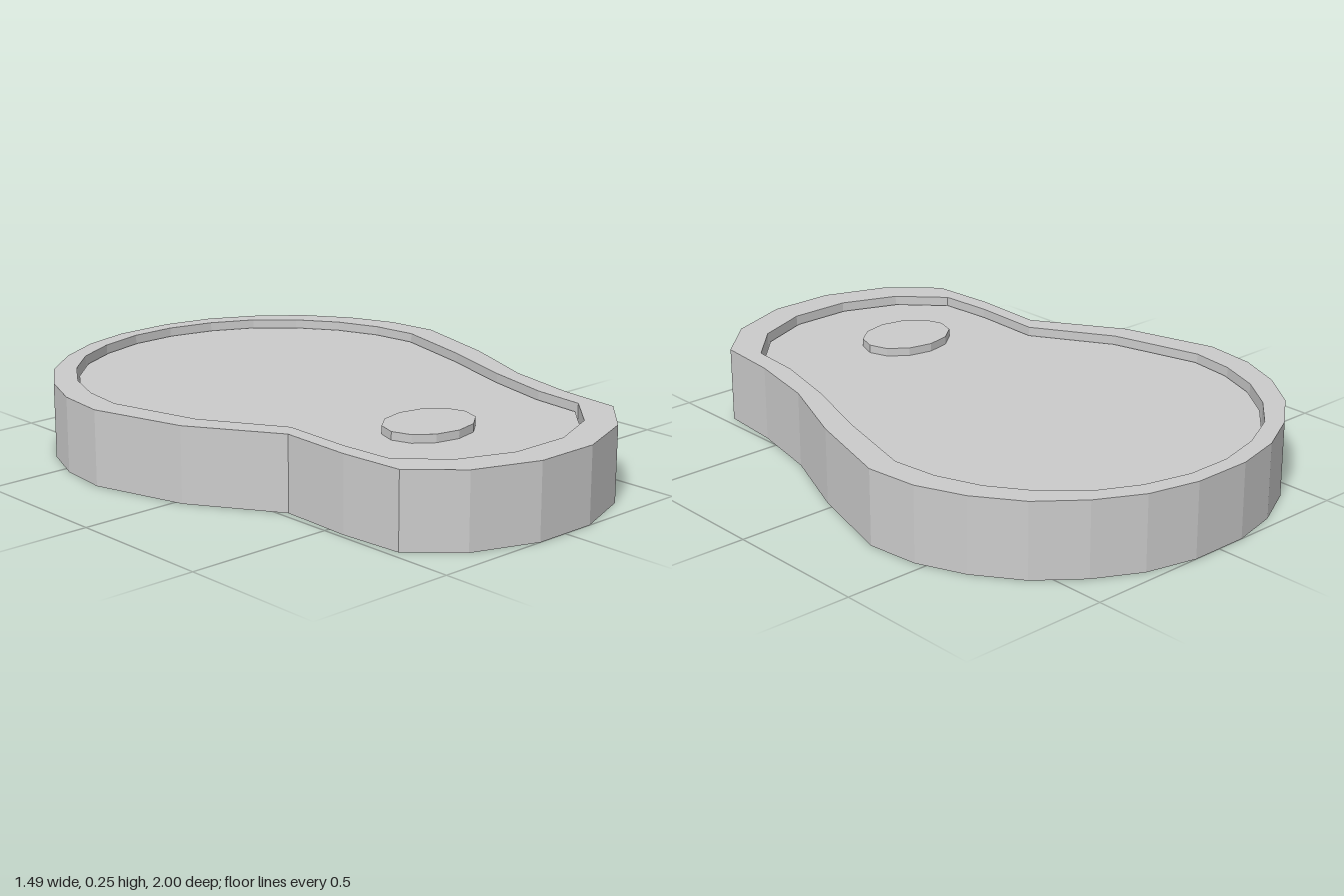
import * as THREE from 'three';

const material = new THREE.MeshStandardMaterial({ color: 0xcccccc, flatShading: true });

// Plan outlines as [x, z], clockwise from the back, one corner each
const OUTER = [
  [-0.1, -1], [0.1, -1], [0.27, -0.96], [0.42, -0.88], [0.557, -0.768], [0.66, -0.622],
  [0.725, -0.465], [0.745, -0.29], [0.655, 0.03], [0.54, 0.315], [0.487, 0.565], [0.468, 0.78],
  [0.323, 0.92], [0.11, 1], [-0.11, 1], [-0.325, 0.92], [-0.47, 0.78], [-0.485, 0.565],
  [-0.475, 0.312], [-0.656, 0.025], [-0.745, -0.29], [-0.725, -0.465], [-0.66, -0.625],
  [-0.557, -0.768], [-0.42, -0.88], [-0.265, -0.96],
];
const INNER = [
  [-0.077, -0.946], [0.077, -0.946], [0.235, -0.907], [0.375, -0.836], [0.49, -0.73], [0.58, -0.6],
  [0.635, -0.455], [0.654, -0.3], [0.575, 0], [0.485, 0.27], [0.427, 0.505], [0.412, 0.685],
  [0.283, 0.82], [0.103, 0.893], [-0.103, 0.893], [-0.288, 0.82], [-0.418, 0.685], [-0.43, 0.505],
  [-0.42, 0.262], [-0.577, 0], [-0.656, -0.305], [-0.637, -0.455], [-0.582, -0.6],
  [-0.492, -0.73], [-0.378, -0.836], [-0.235, -0.907],
];

const toPoints = (outline) => outline.map(([x, z]) => new THREE.Vector2(x, -z));

// Upright slab from a plan shape, standing on y = 0
function slab(name, shape, height) {
  const geometry = new THREE.ExtrudeGeometry(shape, { depth: height, bevelEnabled: false });
  geometry.rotateX(-Math.PI / 2);
  const mesh = new THREE.Mesh(geometry, material);
  mesh.name = name;
  return mesh;
}

export function createModel() {
  const model = new THREE.Group();
  model.name = 'model';

  // Raised border ring; the opening runs the other way round so its walls face inward
  const rimShape = new THREE.Shape(toPoints(OUTER));
  rimShape.holes.push(new THREE.Path(toPoints(INNER).reverse()));
  model.add(slab('rim', rimShape, 0.25));

  // Sunken floor, a hair smaller than the opening
  const floor = INNER.map(([x, z]) => [x * 0.988, z * 0.99 - 0.001]);
  model.add(slab('floor', new THREE.Shape(toPoints(floor)), 0.222));

  // Low oval disc near the narrow end
  const disc = new THREE.Mesh(new THREE.CylinderGeometry(1, 1, 0.04, 12), material);
  disc.name = 'ovalDisc';
  disc.scale.set(0.161, 1, 0.128);
  disc.position.set(-0.067, 0.229, 0.5);
  model.add(disc);

  return model;
}
